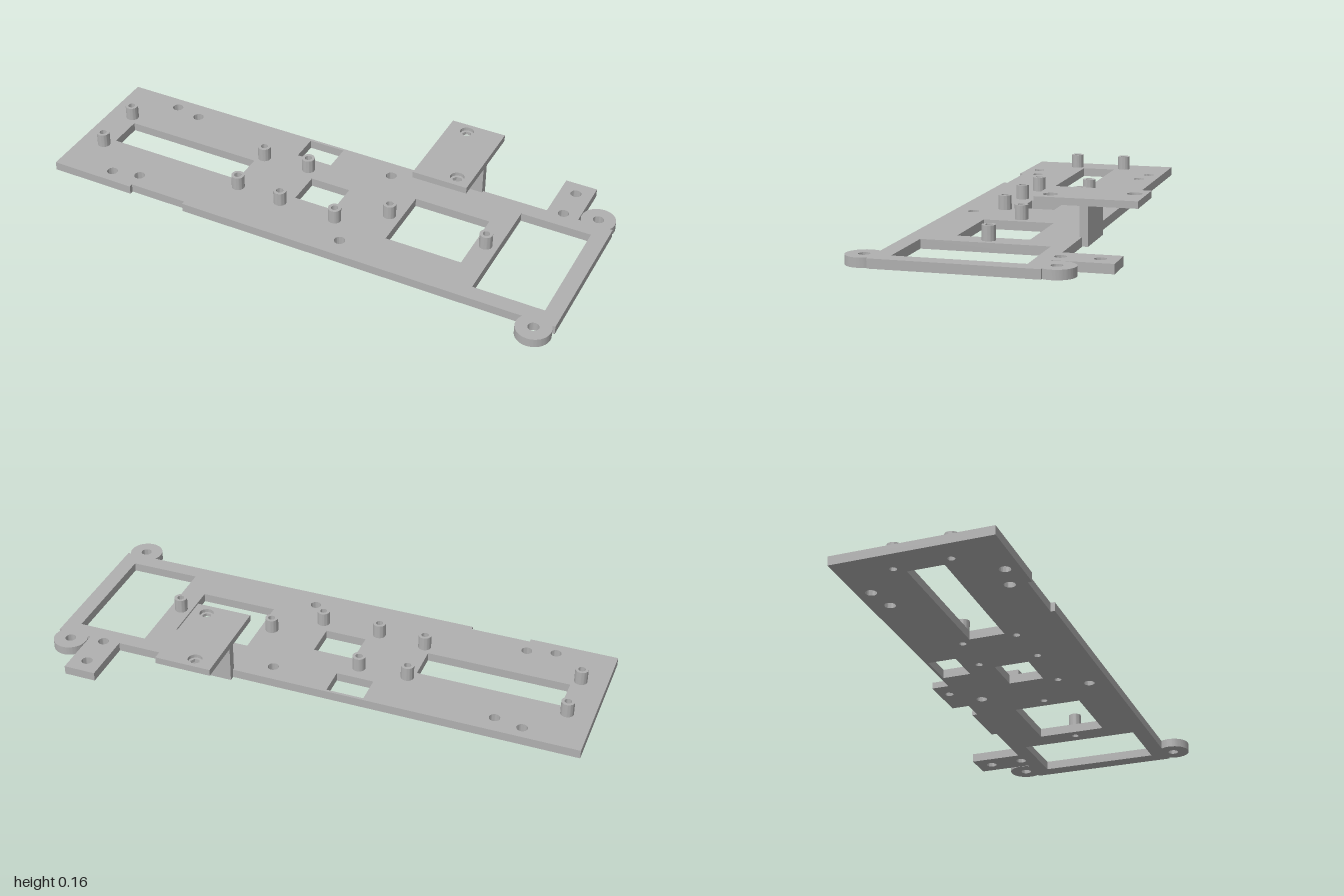
import * as THREE from 'three';
import { toCreasedNormals } from 'three/addons/utils/BufferGeometryUtils.js';

const T = 0.033; // base plate thickness

// Shapes are drawn in (x, z) and extruded upward from y0 to y1.
function slab(name, shape, y0, y1, material) {
  const geo = new THREE.ExtrudeGeometry(shape, { depth: y1 - y0, bevelEnabled: false, curveSegments: 24 });
  geo.rotateX(Math.PI / 2).translate(0, y1, 0);
  const mesh = new THREE.Mesh(toCreasedNormals(geo, 0.6), material);
  mesh.name = name;
  return mesh;
}

function rect(x0, x1, z0, z1) {
  return new THREE.Shape([[x0, z0], [x1, z0], [x1, z1], [x0, z1]].map(p => new THREE.Vector2(...p)));
}

function circle(x, z, r) {
  return new THREE.Shape().absarc(x, z, r, 0, Math.PI * 2, false);
}

function hexagon(x, z, r) {
  return new THREE.Shape(Array.from({ length: 6 }, (_, i) =>
    new THREE.Vector2(x + r * Math.cos(i * Math.PI / 3), z + r * Math.sin(i * Math.PI / 3))));
}

export function createModel() {
  const group = new THREE.Group();
  group.name = 'mountingPlate';
  const grey = new THREE.MeshStandardMaterial({ color: 0xb0b0b0 });
  grey.name = 'plainGrey';

  const standoffs = [
    [-0.905, -0.05], [-0.905, 0.15], [-0.315, -0.05], [-0.315, 0.15],
    [-0.133, -0.06], [-0.133, 0.162], [0.09, 0.162], [0.255, 0.05], [0.63, 0.05],
  ];
  const screwHoles = [
    [-0.78, -0.185], [-0.675, -0.165], [0.16, -0.165], [-0.78, 0.283], [-0.675, 0.26], [0.16, 0.26],
    [0.81, -0.375], [0.81, -0.245], [0.935, -0.268], [0.935, 0.368],
  ];
  const windows = [
    [-0.875, -0.34, -0.015, 0.115], [-0.095, 0.06, -0.015, 0.115], [-0.21, -0.07, -0.225, -0.12],
    [0.30, 0.59, -0.08, 0.175], [0.675, 0.94, -0.175, 0.275],
  ];

  // Base plate outline: back ledge, back tab, two round ears, front notch
  const a = 0.551;
  const plate = new THREE.Shape();
  plate.moveTo(-1, -0.235);
  [[0.29, -0.235], [0.29, -0.255], [0.5, -0.255], [0.5, -0.235],
    [0.75, -0.235], [0.75, -0.435], [0.87, -0.435], [0.87, -0.235]].forEach(p => plate.lineTo(...p));
  plate.absarc(0.935, -0.268, 0.063, Math.PI - a, Math.PI * 2 + a, false);
  plate.lineTo(1, -0.235);
  plate.lineTo(1, 0.335);
  plate.absarc(0.935, 0.368, 0.063, -a, Math.PI + a, false);
  [[-0.445, 0.335], [-0.445, 0.32], [-0.67, 0.32], [-0.67, 0.335], [-1, 0.335]].forEach(p => plate.lineTo(...p));
  plate.closePath();
  plate.holes.push(
    ...windows.map(w => rect(...w)),
    ...screwHoles.map(([x, z]) => circle(x, z, 0.02)),
    ...standoffs.map(([x, z]) => circle(x, z, 0.013)),
  );
  group.add(slab('basePlate', plate, 0, T, grey));

  // Hollow standoffs
  standoffs.forEach(([x, z]) => {
    const ring = circle(x, z, 0.024);
    ring.holes.push(circle(x, z, 0.013));
    group.add(slab('standoff', ring, T, 0.086, grey));
  });

  // Raised platform on an upright web, with recessed hexagonal holes
  group.add(slab('platformWeb', rect(0.29, 0.5, -0.255, -0.225), T, 0.138, grey));
  const lower = rect(0.29, 0.5, -0.425, -0.065);
  const upper = lower.clone();
  [[0.365, -0.383], [0.445, -0.11]].forEach(([x, z]) => {
    lower.holes.push(hexagon(x, z, 0.018));
    upper.holes.push(circle(x, z, 0.026));
  });
  group.add(slab('platformLower', lower, 0.138, 0.15, grey));
  group.add(slab('platformUpper', upper, 0.15, 0.163, grey));

  return group;
}
